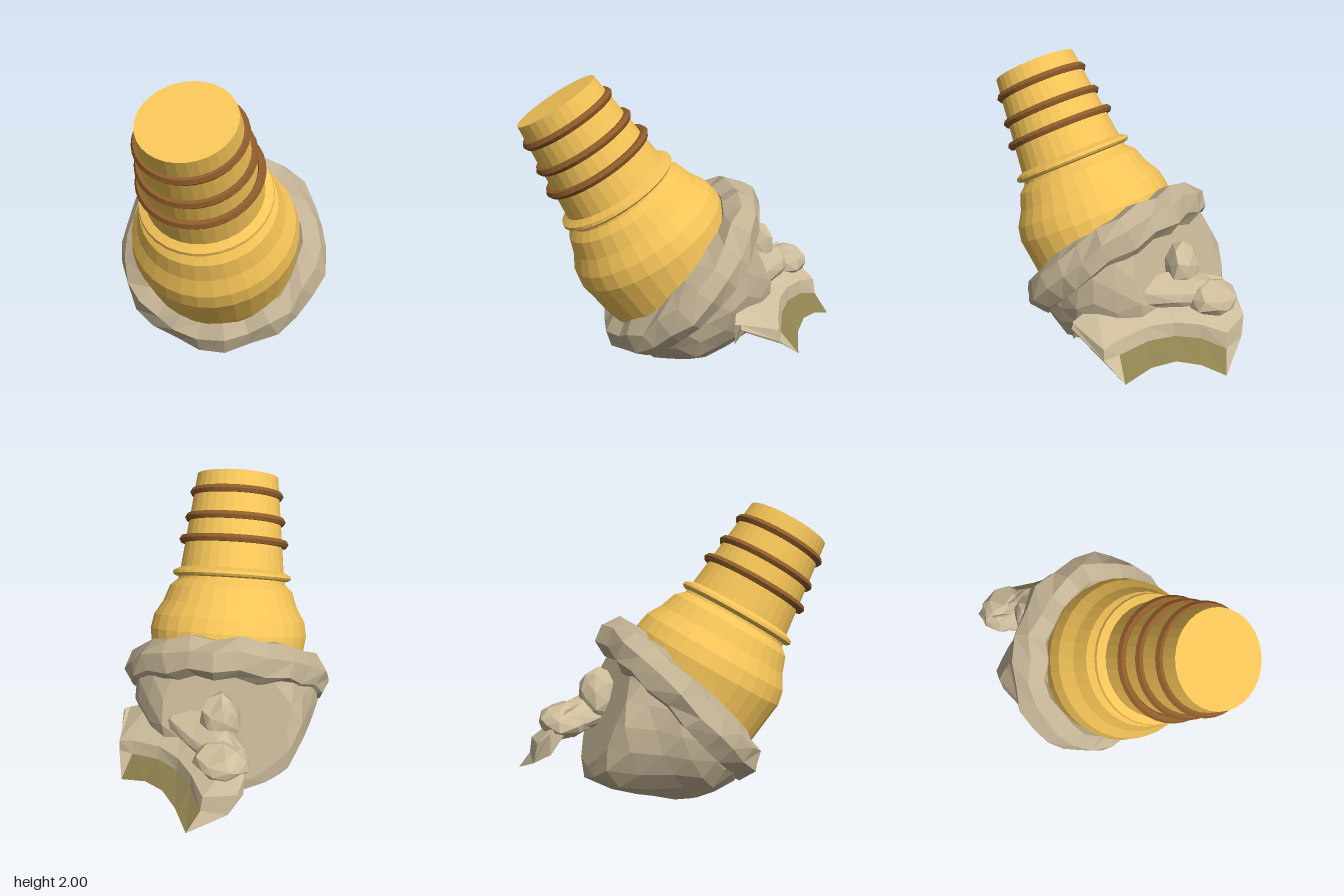
import * as THREE from 'three';

const mat = (color, extra = {}) => new THREE.MeshStandardMaterial({ color, flatShading: true, ...extra });
const GOLD = mat(0xf5c458), BRONZE = mat(0x8f5c2a);
const STONE = mat(0xc2b294), DARK = mat(0x8f8250, { side: THREE.DoubleSide });
const SHARD = mat(0xcdbd9c, { side: THREE.DoubleSide });
const UP = new THREE.Vector3(0, 1, 0);

function addMesh(parent, name, geometry, material) {
  const m = new THREE.Mesh(geometry, material);
  m.name = name;
  parent.add(m);
  return m;
}

// Group whose local y axis points along dir
function tilted(name, origin, dir) {
  const g = new THREE.Group();
  g.name = name;
  g.position.set(...origin);
  g.quaternion.setFromUnitVectors(UP, new THREE.Vector3(...dir).normalize());
  return g;
}

// Moves every vertex by a rule
function warp(geometry, rule) {
  const p = geometry.attributes.position, v = new THREE.Vector3();
  for (let i = 0; i < p.count; i++) {
    v.fromBufferAttribute(p, i);
    rule(v);
    p.setXYZ(i, v.x, v.y, v.z);
  }
  geometry.computeVertexNormals();
  return geometry;
}

// Rough, repeatable offsets depending only on position
function roughen(v, amount) {
  const { x, y, z } = v;
  v.x += amount * Math.sin(17 * y + 11 * z + 3 * x);
  v.y += amount * Math.sin(13 * z + 19 * x + 1.3);
  v.z += amount * Math.sin(15 * x - 12 * y + 2.1);
}

const lathe = (pts) => new THREE.LatheGeometry(pts.map(([r, y]) => new THREE.Vector2(r, y)), 32);

// Stacked tapering funnel with a flange and three bands
function buildFunnel() {
  const g = tilted('funnel', [-0.62, 1.855, 0.54], [-0.375, 0.856, 0.353]);
  addMesh(g, 'funnelBody', lathe([
    [0, -1.57], [0.49, -1.55], [0.525, -1.4], [0.548, -1.2], [0.56, -1.11], [0.54, -1.01],
    [0.48, -0.91], [0.44, -0.8], [0.385, -0.75], [0.372, -0.68], [0.288, 0], [0, 0],
  ]), GOLD);
  addMesh(g, 'funnelFlange', lathe([[0.37, -0.735], [0.41, -0.725], [0.425, -0.71], [0.42, -0.69], [0.36, -0.66]]), GOLD);
  [[0.13, 0.306], [0.31, 0.332], [0.467, 0.364]].forEach(([t, r], i) => {
    const band = addMesh(g, `band${i + 1}`, new THREE.TorusGeometry(r, 0.028, 6, 36), BRONZE);
    band.rotation.x = Math.PI / 2;
    band.position.y = -t;
  });
  return g;
}

// Rough stone bowl, flattened under the raised side of a thick rim
function buildBowl() {
  const g = tilted('bowl', [-0.07, 0.68, 0.0], [-0.517, 0.682, 0.517]);
  const toLocal = g.quaternion.clone().invert();
  const bulge = new THREE.Vector3(0.45, -0.32, -0.82).normalize().applyQuaternion(toLocal);
  const cut = new THREE.Vector3(0.65, 0.4, -0.65).normalize().applyQuaternion(toLocal);
  addMesh(g, 'bowlBody', warp(new THREE.IcosahedronGeometry(0.68, 4), (v) => {
    const push = 0.2 * Math.max(0, v.dot(bulge) / 0.68) ** 5;
    const neck = 1 - 0.07 * Math.max(0, 1 + Math.min(v.y, 0) / 0.3);
    roughen(v, 0.014);
    v.x *= neck;
    v.z *= neck;
    v.addScaledVector(bulge, push);
    if (v.y > 0) v.y *= 0.05;
    v.addScaledVector(cut, -Math.max(0, v.dot(cut) - 0.51));
  }), STONE);
  const rim = addMesh(g, 'bowlRim', warp(new THREE.TorusGeometry(0.59, 0.138, 7, 26).rotateX(Math.PI / 2), (v) => {
    roughen(v, 0.017);
  }), STONE);
  rim.position.set(0.015, -0.01, -0.005);
  return g;
}

// Broken spout: cross-sections of inner x,y,z, brow x,y,z, ridge x,y,z and tip x,y,z
const SECTIONS = [
  [0.57, 0.51, 0.31, 0.61, 0.52, 0.31, 0.62, 0.49, 0.32, 0.63, 0.47, 0.3],
  [0.5, 0.6, 0.16, 0.79, 0.45, 0.12, 0.8, 0.37, 0.12, 0.81, 0.34, 0.1],
  [0.46, 0.62, 0.05, 0.74, 0.48, 0.03, 0.76, 0.38, 0.02, 0.88, 0.24, -0.01],
  [0.44, 0.64, -0.15, 0.66, 0.52, -0.17, 0.68, 0.42, -0.17, 0.8, 0.3, -0.18],
  [0.4, 0.7, -0.34, 0.64, 0.53, -0.34, 0.65, 0.43, -0.34, 0.775, 0.325, -0.34],
  [0.38, 0.73, -0.52, 0.66, 0.52, -0.51, 0.67, 0.42, -0.51, 0.79, 0.3, -0.5],
  [0.4, 0.71, -0.68, 0.7, 0.48, -0.67, 0.72, 0.37, -0.67, 0.83, 0.24, -0.66],
  [0.46, 0.57, -0.78, 0.54, 0.5, -0.81, 0.58, 0.38, -0.8, 0.6, 0.35, -0.79],
];

function buildSpout() {
  const g = new THREE.Group();
  g.name = 'spout';
  const rings = SECTIONS.map((s) => [
    s.slice(0, 3), s.slice(3, 6), s.slice(6, 9), s.slice(9, 12), [s[0], s[1] - 0.14, s[2]],
  ]);
  const body = [], edge = [];
  const tri = (out, a, b, c) => out.push(...a, ...b, ...c);
  for (let i = 0; i < rings.length - 1; i++) {
    for (let k = 0; k < 5; k++) {
      const n = (k + 1) % 5;
      const out = k === 2 && i > 1 && i < 6 ? edge : body;
      tri(out, rings[i][k], rings[i][n], rings[i + 1][n]);
      tri(out, rings[i][k], rings[i + 1][n], rings[i + 1][k]);
    }
  }
  // End caps
  const first = [...rings[0]].reverse(), last = rings[rings.length - 1];
  for (const cap of [first, last]) {
    for (let k = 1; k < 4; k++) tri(body, cap[0], cap[k], cap[k + 1]);
  }
  const toGeometry = (arr) => {
    const geo = new THREE.BufferGeometry();
    geo.setAttribute('position', new THREE.Float32BufferAttribute(arr, 3));
    geo.computeVertexNormals();
    return geo;
  };
  addMesh(g, 'spoutBody', toGeometry(body), SHARD);
  addMesh(g, 'spoutEdge', toGeometry(edge), DARK);

  // Rocky lumps joining the spout to the bowl
  [
    [0.42, 0.63, -0.33, 0.16, 0.12, 0.4],
    [0.34, 0.74, -0.42, 0.13, 0.19, 0.12],
    [0.48, 0.61, -0.6, 0.17, 0.11, 0.18],
  ].forEach(([x, y, z, sx, sy, sz], i) => {
    addMesh(g, `spoutRock${i + 1}`, warp(new THREE.IcosahedronGeometry(1, 1), (v) => {
      roughen(v, 0.1);
      v.set(x + v.x * sx, y + v.y * sy, z + v.z * sz);
    }), SHARD);
  });
  return g;
}

export function createModel() {
  const model = new THREE.Group();
  model.name = 'stoneBowlWithFunnel';
  model.add(buildFunnel(), buildBowl(), buildSpout());
  return model;
}
